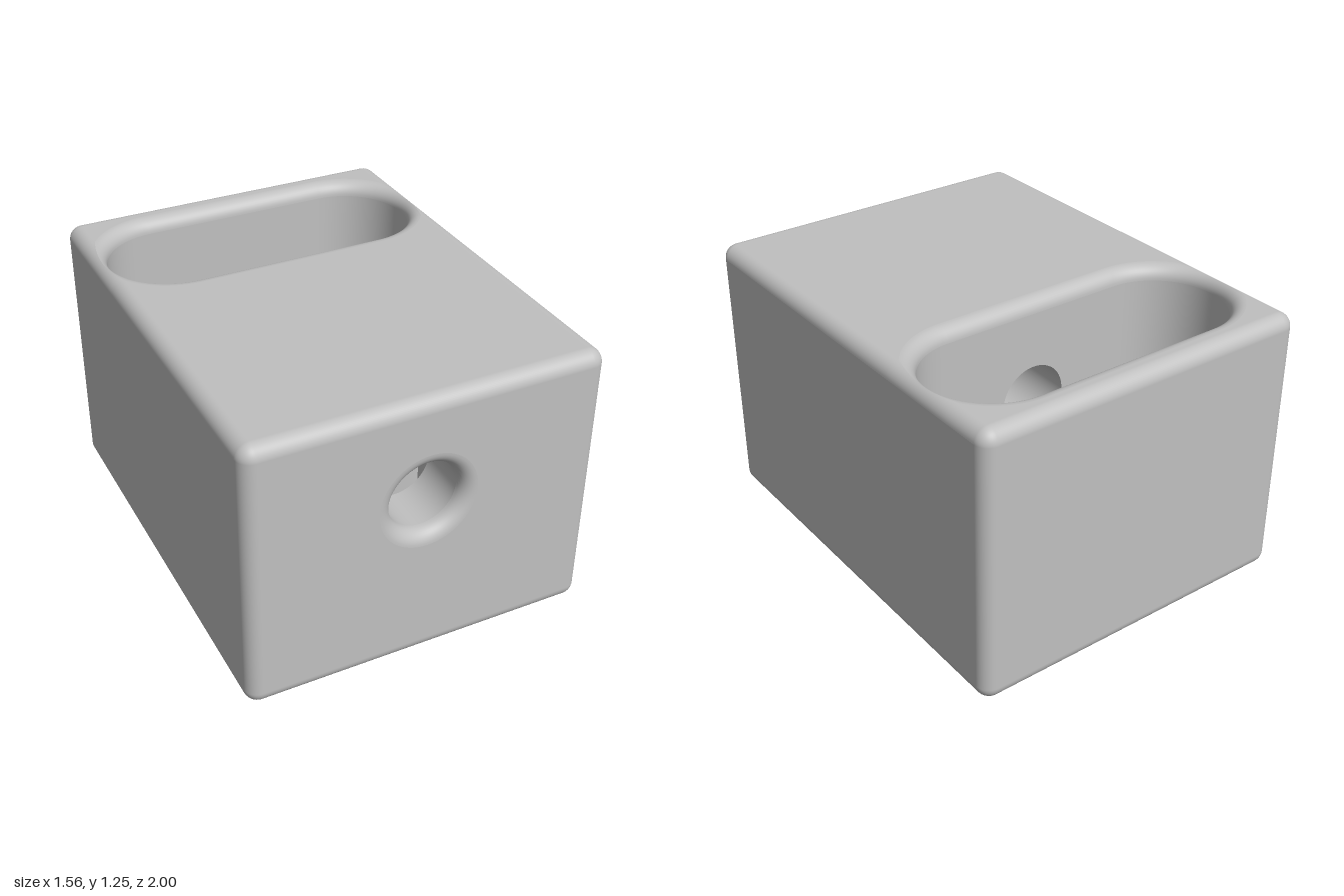
import * as THREE from 'three';
import { mergeVertices } from 'three/addons/utils/BufferGeometryUtils.js';
import { RoundedBoxGeometry } from 'three/addons/geometries/RoundedBoxGeometry.js';

const W = 1.5625, H = 1.25, D = 2, F = 0.0625;           // block size and edge radius
const CX = W / 2 - F, CZ = D / 2 - F;                    // where the flat faces end
const ZC = -0.565;                                       // centre line of the slots
const POCKET = { r: 0.2875, cx: CX - 0.2875, floor: 0.4375 };
const SLOT = { r: 0.175, cx: 0.31 };
const BORE = { r: 0.156, y: 0.781 };
const NUT = { x: 0.26, z0: 0.475, z1: 0.725, top: 1.04 };

const span = (a, b, n) => Array.from({ length: n + 1 }, (_, i) => a + (b - a) * i / n);

// Angles over the half-round end, with stops where the pocket rim meets the side edge
const TC = Math.acos(POCKET.r / (POCKET.r + F));
const ARC = [...span(Math.PI / 2, TC, 12), ...span(TC, -TC, 16).slice(1), ...span(-TC, -Math.PI / 2, 12).slice(1)];

// Stadium outline as [side, angle], from front right round the back to front left
const OUTLINE = [...ARC.map(t => [1, t]), ...[...ARC].reverse().map(t => [-1, t])];
const LOOP = [...OUTLINE, OUTLINE[0]];
const stadium = (s, [side, t], d = 0) =>
  [side * (s.cx + (s.r + d) * Math.cos(t)), ZC + (s.r + d) * Math.sin(t)];

// Width of the pocket's rounded rim, cut short where it runs into the side edge
const rimWidth = t => Math.min(F, (POCKET.r + F - POCKET.r * Math.cos(t)) / (1 + Math.cos(t)));

// Smooth surface through rows of points
function grid(rows) {
  const n = rows[0].length, index = [];
  for (let i = 0; i < rows.length - 1; i++)
    for (let j = 0; j < n - 1; j++) {
      const a = i * n + j, b = a + n;
      index.push(a, b, a + 1, b, b + 1, a + 1);
    }
  const g = new THREE.BufferGeometry();
  g.setAttribute('position', new THREE.Float32BufferAttribute(rows.flat(2), 3));
  g.setIndex(index);
  const merged = mergeVertices(g, 1e-6);
  merged.computeVertexNormals();
  return merged;
}

// Flat plate with holes in its own xy plane
function plate(points, holes = []) {
  const v = list => list.map(p => new THREE.Vector2(p[0], p[1]));
  const shape = new THREE.Shape(v(points));
  holes.forEach(h => shape.holes.push(new THREE.Path(v(h))));
  return new THREE.ShapeGeometry(shape);
}
const facingUp = (pts, holes = [], y = 0) => {
  const m = l => l.map(([x, z]) => [x, -z]);
  return plate(m(pts), holes.map(m)).rotateX(-Math.PI / 2).translate(0, y, 0);
};
const facingDown = (pts, holes = []) => plate(pts, holes).rotateX(Math.PI / 2);
const rect = (x0, x1, y0, y1) => [[x0, y0], [x1, y0], [x1, y1], [x0, y1]];
const TURN = span(0, 2 * Math.PI, 64);
const circle = r => TURN.slice(0, -1).map(t => [r * Math.cos(t), BORE.y + r * Math.sin(t)]);

// Rounded block without the faces and upper side edges that are cut open
function shellGeometry() {
  const g = new RoundedBoxGeometry(W, H, D, 6, F).translate(0, H / 2, 0);
  const p = g.attributes.position, nor = g.attributes.normal, pos = [], norm = [], e = 1e-4;
  for (let i = 0; i < p.count; i += 3) {
    const k = [i, i + 1, i + 2], y = k.map(j => p.getY(j)), z = k.map(j => p.getZ(j));
    const upper = Math.min(...y) > H - F - e && Math.max(...z) - Math.min(...z) > 1;
    const bottom = Math.max(...y) < e, front = Math.min(...z) > D / 2 - e;
    if (upper || bottom || front) continue;
    for (const j of k) {
      pos.push(p.getX(j), p.getY(j), p.getZ(j));
      norm.push(nor.getX(j), nor.getY(j), nor.getZ(j));
    }
  }
  const out = new THREE.BufferGeometry();
  out.setAttribute('position', new THREE.Float32BufferAttribute(pos, 3));
  out.setAttribute('normal', new THREE.Float32BufferAttribute(norm, 3));
  return out;
}

export function createModel() {
  const model = new THREE.Group();
  model.name = 'slottedBlock';
  const grey = new THREE.MeshStandardMaterial({ color: 0xc0c0c0, side: THREE.DoubleSide });
  grey.name = 'grey';
  const add = (name, geometry) => {
    const mesh = new THREE.Mesh(geometry, grey);
    mesh.name = name;
    model.add(mesh);
  };

  add('blockShell', shellGeometry());

  // Upper side edges, notched by the pocket rim
  const notch = ARC.filter(t => Math.abs(t) <= TC + 1e-6).map(t => stadium(POCKET, [1, t], rimWidth(t)));
  for (const side of [1, -1]) {
    const rows = [[CX, CZ], ...notch, [CX, -CZ]].map(([x, z]) => {
      const start = Math.asin(Math.min(1, Math.max(0, (x - CX) / F)));
      return span(start, Math.PI / 2, 12).map(a => [side * (CX + F * Math.sin(a)), H - F + F * Math.cos(a), z]);
    });
    add('upperSideEdge', grid(rows));
  }

  // Top face, in front of and behind the pocket
  for (const dir of [1, -1]) {
    const rim = OUTLINE.filter(([, t]) => dir * t >= TC - 1e-6)
      .map(o => stadium(POCKET, o, F)).sort((a, b) => a[0] - b[0]);
    add(dir > 0 ? 'topFront' : 'topBack', facingUp([...rim, [CX, dir * CZ], [-CX, dir * CZ]], [], H));
  }

  // Pocket rim, walls and floor
  add('pocketRim', grid(LOOP.map(o => {
    const end = Math.acos(1 - rimWidth(o[1]) / F);
    return span(0, end, 10).map(a => {
      const [x, z] = stadium(POCKET, o, F * (1 - Math.cos(a)));
      return [x, H - F + F * Math.sin(a), z];
    });
  })));
  const wall = (s, list, y0, y1) => grid(list.map(o => {
    const [x, z] = stadium(s, o);
    return [[x, y0, z], [x, y1, z]];
  }));
  add('pocketWall', wall(POCKET, OUTLINE, POCKET.floor, H - F));
  add('pocketFrontWall', plate(rect(-POCKET.cx, POCKET.cx, POCKET.floor, H - F), [circle(BORE.r)])
    .rotateY(Math.PI).translate(0, 0, ZC + POCKET.r));
  add('pocketFloor', facingUp(OUTLINE.map(o => stadium(POCKET, o)),
    [OUTLINE.map(o => stadium(SLOT, o, F))], POCKET.floor));

  // Through slot below the pocket
  add('slotRim', grid(LOOP.map(o => span(0, Math.PI / 2, 10).map(a => {
    const [x, z] = stadium(SLOT, o, F * (1 - Math.cos(a)));
    return [x, POCKET.floor - F + F * Math.sin(a), z];
  }))));
  add('slotWall', wall(SLOT, LOOP, 0, POCKET.floor - F));

  // Underside with the slot and nut openings
  add('underside', facingDown(rect(-CX, CX, -CZ, CZ),
    [OUTLINE.map(o => stadium(SLOT, o)), rect(-NUT.x, NUT.x, NUT.z0, NUT.z1)]));

  // Front face and the bore behind it
  add('frontFace', plate(rect(-CX, CX, F, H - F), [circle(BORE.r + F)]).translate(0, 0, D / 2));
  add('boreRim', grid(TURN.map(t => span(0, Math.PI / 2, 10).map(a => {
    const r = BORE.r + F * (1 - Math.cos(a));
    return [r * Math.cos(t), BORE.y + r * Math.sin(t), CZ + F * Math.sin(a)];
  }))));
  for (const [z0, z1] of [[NUT.z1, CZ], [ZC + POCKET.r, NUT.z0]])
    add('boreWall', grid(TURN.map(t => [z0, z1].map(z => [BORE.r * Math.cos(t), BORE.y + BORE.r * Math.sin(t), z]))));

  // Nut slot crossing the bore, open below
  const nutWall = () => plate(rect(-NUT.x, NUT.x, 0, NUT.top), [circle(BORE.r)]);
  add('nutSlotBack', nutWall().translate(0, 0, NUT.z0));
  add('nutSlotFront', nutWall().rotateY(Math.PI).translate(0, 0, NUT.z1));
  for (const side of [1, -1])
    add('nutSlotSide', new THREE.PlaneGeometry(NUT.z1 - NUT.z0, NUT.top).rotateY(-side * Math.PI / 2)
      .translate(side * NUT.x, NUT.top / 2, (NUT.z0 + NUT.z1) / 2));
  add('nutSlotTop', facingDown(rect(-NUT.x, NUT.x, NUT.z0, NUT.z1)).translate(0, NUT.top, 0));

  return model;
}
